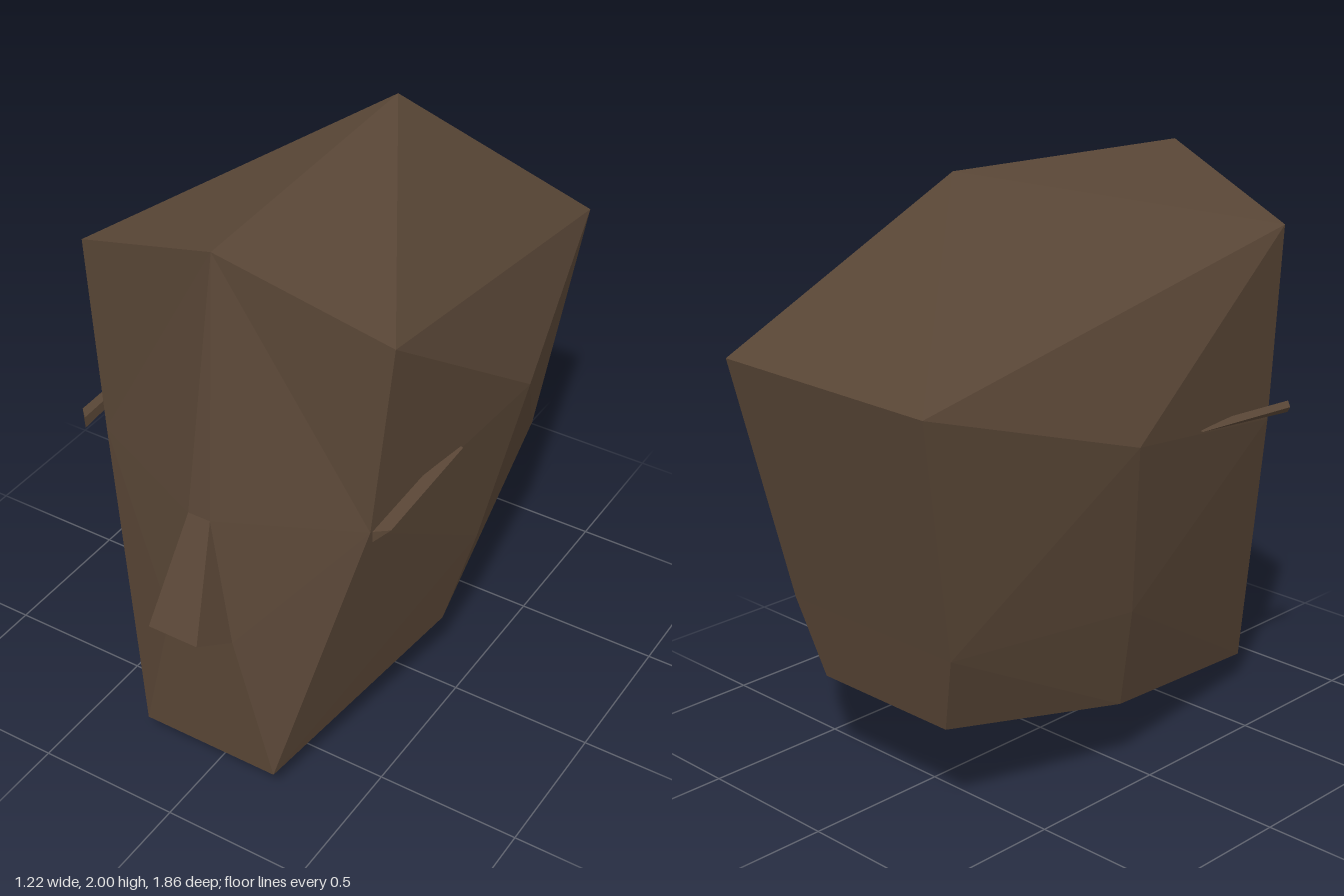
import * as THREE from 'three';

const skin = new THREE.MeshStandardMaterial({ color: 0x594636, flatShading: true, side: THREE.DoubleSide });
skin.name = 'brown';

// Fan-triangulates polygons of points and turns every triangle away from the given centre.
function facetMesh(name, polygons, centre) {
  const positions = [];
  const normal = new THREE.Vector3();
  for (const poly of polygons) {
    for (let i = 1; i < poly.length - 1; i++) {
      const [a, b, c] = [poly[0], poly[i], poly[i + 1]].map((p) => new THREE.Vector3(...p));
      normal.subVectors(b, a).cross(c.clone().sub(a));
      const outward = normal.dot(a.clone().sub(centre)) >= 0;
      for (const p of outward ? [a, b, c] : [a, c, b]) positions.push(p.x, p.y, p.z);
    }
  }
  const geometry = new THREE.BufferGeometry();
  geometry.setAttribute('position', new THREE.Float32BufferAttribute(positions, 3));
  geometry.computeVertexNormals();
  const mesh = new THREE.Mesh(geometry, skin);
  mesh.name = name;
  return mesh;
}

const mirror = ([x, y, z]) => [-x, y, z];

// Landmarks of the head, left half only
const crown = [0, 2, -0.38];
const hairline = [0, 1.96, 0.65];
const forehead = [0.55, 1.77, 0.55];
const temple = [0.49, 1.1, 0.575];
const side = [0.61, 1.22, -0.2];
const back = [0.44, 1.44, -0.93];
const nape = [0.36, 0.62, -0.76];
const neckBack = [0.28, 0.35, -0.71];
const cheek = [0.5, 0.62, -0.1];
const jaw = [0.41, 0.25, -0.05];
const chinCorner = [0.25, 0.11, 0.765];
const chin = [0, 0.005, 0.59];
const throat = [0, 0.04, 0.19];
const bridge = [0.04, 1.08, 0.765];
const nostril = [0.12, 0.64, 0.785];
const noseTip = [0.09, 0.72, 0.93];

// A strip of faces joining two mirrored edges across the middle
const across = (a, b) => [a, b, mirror(b), mirror(a)];

export function createModel() {
  const model = new THREE.Group();
  model.name = 'head';
  const middle = new THREE.Vector3(0, 1, 0);

  // Skull and jaw
  const half = [
    [hairline, forehead, crown], [crown, forehead, back],
    [forehead, side, back], [forehead, temple, side],
    [side, nape, back], [side, cheek, nape], [temple, cheek, side],
    [temple, chinCorner, cheek], [chinCorner, jaw, cheek],
    [cheek, jaw, nape], [jaw, neckBack, nape],
    [hairline, temple, forehead], [hairline, bridge, temple],
    [temple, bridge, nostril], [temple, nostril, chinCorner],
    [chinCorner, chin, jaw], [chin, throat, jaw],
  ];
  const centre = [
    [crown, back, mirror(back)],
    across(back, nape),
    across(nape, neckBack),
    [throat, jaw, neckBack, mirror(neckBack), mirror(jaw)],
    [hairline, bridge, mirror(bridge)],
    across(nostril, chinCorner),
    [chinCorner, chin, mirror(chinCorner)],
  ];
  const skull = [...half, ...half.map((f) => f.map(mirror)), ...centre];
  model.add(facetMesh('skull', skull, middle));

  // Wedge nose
  const noseSide = [bridge, noseTip, nostril];
  model.add(facetMesh('nose', [
    noseSide, noseSide.map(mirror), across(bridge, noseTip), across(noseTip, nostril),
  ], middle));

  // Thin slivers that run along the temples and stick out past the face
  const front = [[0.57, 1.155, 0.59], [0.53, 1.16, 0.63], [0.53, 1.12, 0.63]];
  const rear = [[0.565, 1.175, 0.15], [0.53, 1.185, 0.15], [0.53, 1.165, 0.15]];
  const sliver = [front, rear, ...[0, 1, 2].map((i) => {
    const j = (i + 1) % 3;
    return [front[i], front[j], rear[j], rear[i]];
  })];
  model.add(facetMesh('leftTempleSliver', sliver, new THREE.Vector3(0.543, 1.16, 0.38)));
  model.add(facetMesh('rightTempleSliver', sliver.map((f) => f.map(mirror)), new THREE.Vector3(-0.543, 1.16, 0.38)));

  return model;
}
